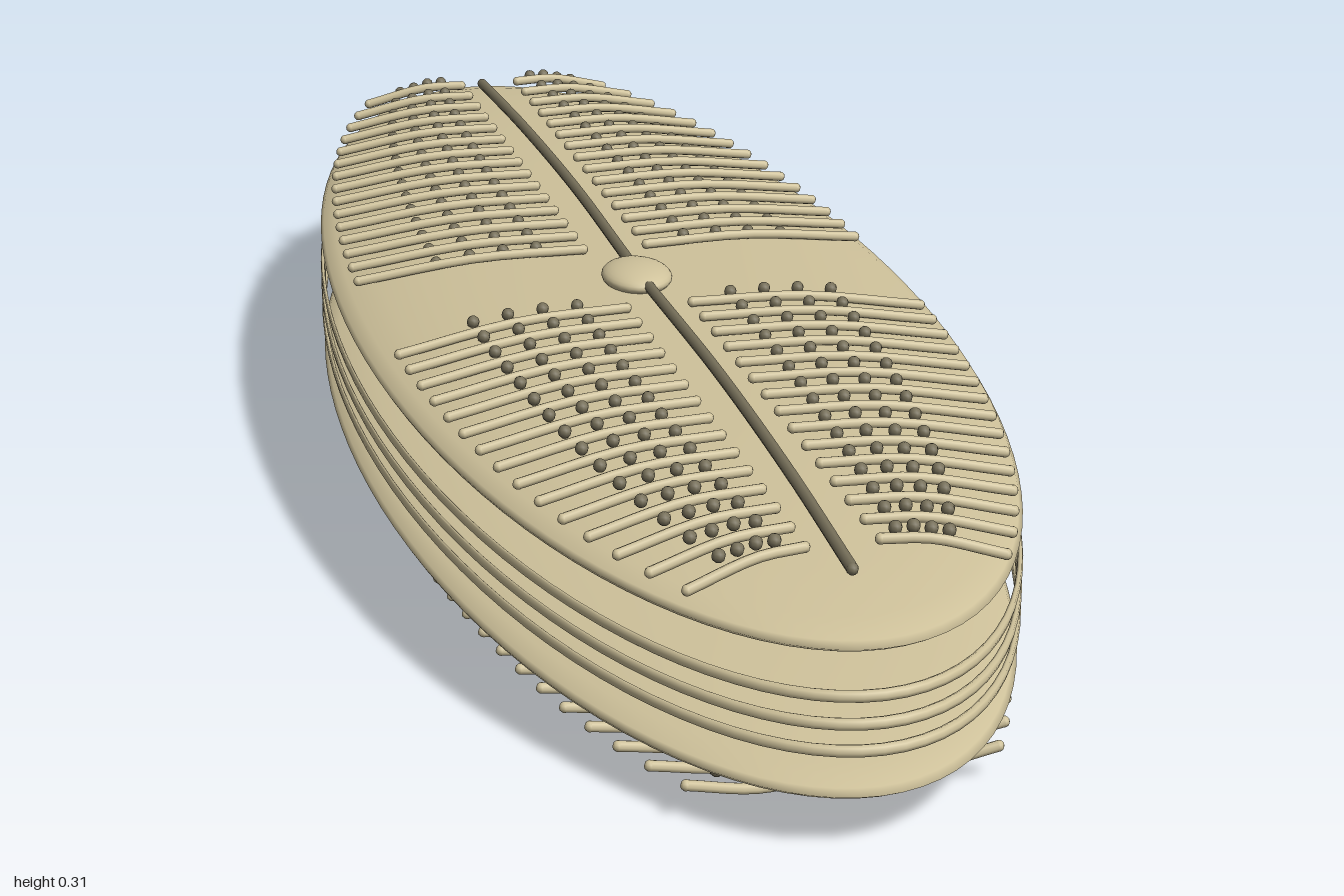
import * as THREE from 'three';
import { mergeGeometries } from 'three/addons/utils/BufferGeometryUtils.js';

const HALF_X = 0.363, HALF_Z = 0.994, MID_Y = 0.155;
const RIBS = 15, RIB_START = 0.11, RIB_STEP = 0.0525;

const halfWidth = (z) => HALF_X * Math.sqrt(Math.max(0, 1 - (z / HALF_Z) ** 2));

export function createModel() {
  const shell = new THREE.MeshStandardMaterial({ color: 0xcfc29b });
  shell.name = 'shell';
  const dark = new THREE.MeshStandardMaterial({ color: 0x77705a });
  dark.name = 'darkGroove';

  const model = new THREE.Group();
  model.name = 'diatom';
  const add = (parent, name, geometry, material) => {
    const mesh = new THREE.Mesh(geometry, material);
    mesh.name = name;
    parent.add(mesh);
    return mesh;
  };

  // Lens-shaped valve body, turned from a half profile and stretched to an ellipse
  const lensGeometry = () => {
    const top = [[0.95, 0.015], [0.85, 0.026], [0.7, 0.036], [0.5, 0.043], [0.25, 0.046], [0, 0.047]];
    const profile = [
      ...top.map(([r, y]) => new THREE.Vector2(r, -y)).reverse(),
      new THREE.Vector2(0.99, -0.006),
      new THREE.Vector2(1, 0),
      new THREE.Vector2(0.99, 0.006),
      ...top.map(([r, y]) => new THREE.Vector2(r, y)),
    ];
    return new THREE.LatheGeometry(profile, 96).scale(HALF_X, 1, HALF_Z);
  };

  // Round rod with closed ends along a list of points
  const rod = (points, radius, segments) => {
    const curve = new THREE.CatmullRomCurve3(points);
    const caps = [0, 1].map((t) => {
      const p = curve.getPoint(t);
      return new THREE.SphereGeometry(radius, 8, 6).translate(p.x, p.y, p.z);
    });
    return mergeGeometries([new THREE.TubeGeometry(curve, segments, radius, 8), ...caps]);
  };

  // s = 1 builds the upper valve, s = -1 the lower one, mirrored about the middle
  for (const s of [1, -1]) {
    const valve = new THREE.Group();
    valve.name = s > 0 ? 'upperValve' : 'lowerValve';
    model.add(valve);
    const at = (x, h, z) => new THREE.Vector3(x, MID_Y + s * h, z);

    add(valve, 'valveBody', lensGeometry(), shell).position.y = MID_Y + s * 0.085;

    const ribs = [], pores = [];
    for (const end of [1, -1]) {
      for (const side of [1, -1]) {
        for (let i = 0; i < RIBS; i++) {
          const z = end * (RIB_START + i * RIB_STEP);
          const w = halfWidth(z), outer = 0.92 * w;
          // Rib bends down toward the rim and slants away from the centre
          ribs.push(rod([
            at(side * 0.042, 0.138, z),
            at(side * Math.max(0.5 * w, 0.07), 0.136, z + end * 0.008),
            at(side * outer, 0.114, z + end * 0.022),
          ], 0.0065, 8));
          // Row of pores beside each rib
          for (const t of [0.2, 0.35, 0.5, 0.65]) {
            const x = 0.04 + t * (outer - 0.04);
            const h = 0.137 - 0.022 * Math.max(0, (x / w - 0.45) / 0.47);
            const p = at(side * x, h, z - 0.026);
            pores.push(new THREE.SphereGeometry(0.008, 8, 6).translate(p.x, p.y, p.z));
          }
        }
      }
      // Long slit running from the centre toward each tip
      add(valve, 'raphe', rod([
        at(0.003, 0.14, end * 0.05),
        at(0.007, 0.139, end * 0.35),
        at(0.004, 0.134, end * 0.65),
        at(-0.002, 0.126, end * 0.885),
      ], 0.007, 24), dark);
    }
    add(valve, 'ribs', mergeGeometries(ribs), shell);
    add(valve, 'pores', mergeGeometries(pores), dark);

    // Raised central boss
    const nodule = add(valve, 'centralNodule',
      new THREE.SphereGeometry(1, 24, 16).scale(0.044, 0.017, 0.056), shell);
    nodule.position.y = MID_Y + s * 0.138;
  }

  // Three elliptical girdle bands between the valves
  for (const y of [0.124, 0.155, 0.187]) {
    const band = add(model, 'girdleBand',
      new THREE.TorusGeometry(1, 0.007, 8, 96).rotateX(Math.PI / 2).scale(0.362, 1, 0.993), shell);
    band.position.y = y;
  }
  return model;
}
